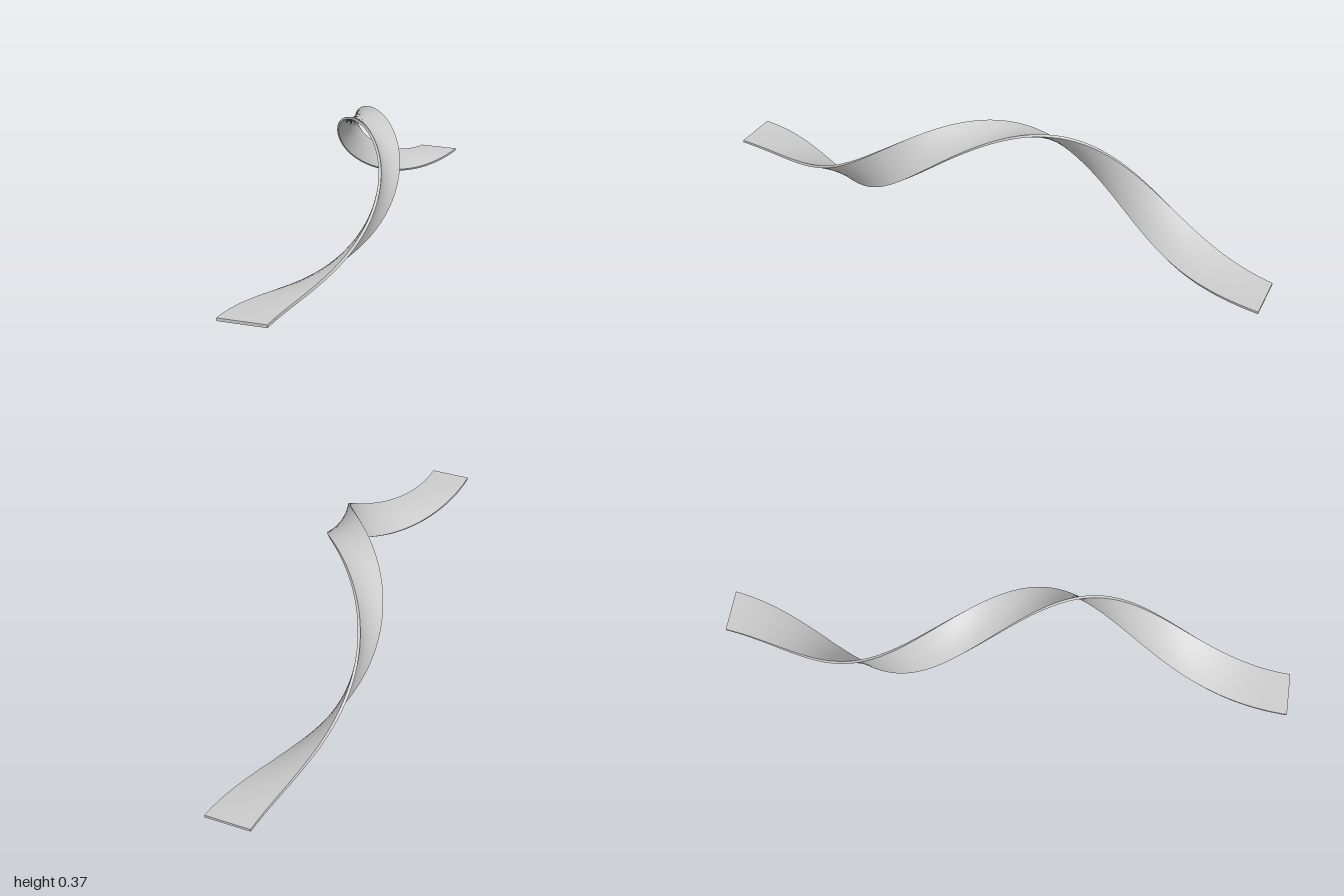
import * as THREE from 'three';

const AXIS_Y = 0.185;   // height of the twist axis
const INNER = 0.16;     // axis to the inner face of the ribbon
const WIDTH = 0.149;
const THICK = 0.009;
const LENGTH = 2;

// Eased turn: slow at the ends, fast in the middle, just short of a full circle
function turnAt(z) {
  const u = (1 - z) / 2 / 1.04;
  return Math.PI * 2 * u * u * (3 - 2 * u);
}

export function createModel() {
  const group = new THREE.Group();
  group.name = 'twistedRibbon';

  // Flat strip below the axis, then each slice is turned around the axis
  const geometry = new THREE.BoxGeometry(WIDTH, THICK, LENGTH, 4, 1, 160);
  geometry.translate(0, -INNER - THICK / 2, 0);
  const pos = geometry.attributes.position;
  for (let i = 0; i < pos.count; i++) {
    const x = pos.getX(i), y = pos.getY(i), a = turnAt(pos.getZ(i));
    const c = Math.cos(a), s = Math.sin(a);
    pos.setXY(i, x * c - y * s, AXIS_Y + x * s + y * c);
  }
  geometry.computeVertexNormals();

  const ribbon = new THREE.Mesh(geometry, new THREE.MeshStandardMaterial({ color: 0xcccccc }));
  ribbon.name = 'ribbon';
  group.add(ribbon);
  return group;
}
